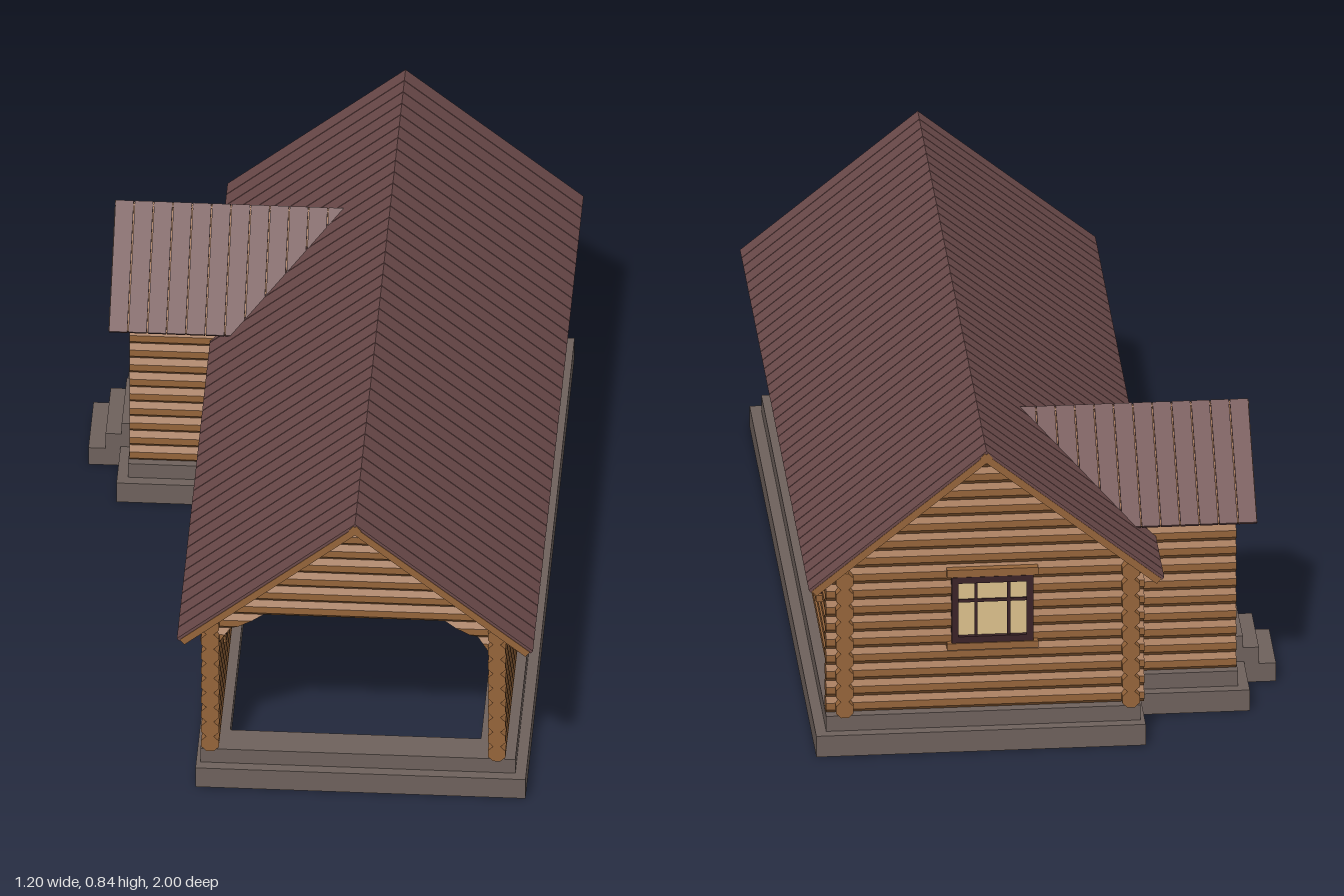
import * as THREE from 'three';

const mat = (color) => new THREE.MeshStandardMaterial({ color, flatShading: true });
const WOOD = mat(0x95643a), STONE = mat(0x6e615c), ROOF = mat(0x6b4a4a);
const FRAME = mat(0x3a2327), GLASS = mat(0xdcc08c), DOOR = mat(0x5a302c);
const PITCH = 0.044, BASE = 0.095, ROWS = 9, WALL_TOP = BASE + PITCH * ROWS;

function add(parent, name, geo, material, x = 0, y = 0, z = 0) {
  const m = new THREE.Mesh(geo, material);
  m.name = name;
  m.position.set(x, y, z);
  parent.add(m);
  return m;
}

function box(parent, name, material, x0, x1, y0, y1, z0, z1) {
  return add(parent, name, new THREE.BoxGeometry(x1 - x0, y1 - y0, z1 - z0), material,
    (x0 + x1) / 2, (y0 + y1) / 2, (z0 + z1) / 2);
}

function group(parent, name, x = 0, y = 0, z = 0, turn = 0) {
  const g = new THREE.Group();
  g.name = name;
  g.position.set(x, y, z);
  g.rotation.y = turn;
  parent.add(g);
  return g;
}

// Octagonal log lying along x, flat sides facing out
function logGeometry(length) {
  const r = PITCH / 2 / Math.cos(Math.PI / 8);
  return new THREE.CylinderGeometry(r, r, length, 8, 1, false, Math.PI / 8).rotateZ(Math.PI / 2);
}

// Log whose ends are cut by a rule: cut(sign of end, height) gives x
function cutLog(y, cut) {
  const geo = logGeometry(2), p = geo.attributes.position;
  for (let i = 0; i < p.count; i++) p.setX(i, cut(Math.sign(p.getX(i)), y + p.getY(i)));
  geo.computeVertexNormals();
  return geo;
}

// Stack of logs from a0 to a1, along x or along z
function logWall(parent, name, axis, a0, a1, at, rows = ROWS) {
  const mid = (a0 + a1) / 2;
  const wall = axis === 'x' ? group(parent, name, mid, 0, at) : group(parent, name, at, 0, mid, Math.PI / 2);
  const geo = logGeometry(a1 - a0);
  for (let i = 0; i < rows; i++) add(wall, 'log', geo, WOOD, 0, BASE + (i + 0.5) * PITCH, 0);
}

// Gable of logs cut to follow the roof slope
function gable(parent, name, x, z, turn, bottom, peak, slope) {
  const g = group(parent, name, x, 0, z, turn);
  for (let y = bottom + PITCH / 2; y < peak; y += PITCH)
    add(g, 'gableLog', cutLog(y, (s, h) => s * Math.max(0, peak - h) / slope), WOOD, 0, y, 0);
}

// Two slopes of boards with metal strips; the ridge runs along local z.
// Over the last part, hip, the slopes shorten towards the ridge.
function gableRoof(parent, name, x, y, z, turn, length, half, slope, thick, hip = 0) {
  const roof = group(parent, name, x, y, z, turn);
  const run = half * Math.hypot(1, slope), n = Math.round(length / 0.05), step = length / n;
  for (const s of [-1, 1]) {
    const side = group(roof, 'roofSide');
    side.rotation.z = -s * Math.atan(slope);
    for (let i = 0; i < n; i++) {
      const z0 = -length / 2 + i * step, left = length / 2 - z0;
      const r = left < hip ? run * left / hip : run;
      const inner = Math.min(0, s * r), outer = Math.max(0, s * r);
      box(side, 'roofBoard', WOOD, inner + (s < 0 ? 0.004 : 0), outer - (s > 0 ? 0.004 : 0), -thick, -0.007, z0, z0 + step);
      box(side, 'roofStrip', ROOF, inner, outer, -0.009, 0, z0 + 0.0015, z0 + step - 0.0015);
    }
  }
}

// Window through the wall, flush inside and proud outside (local +z)
function makeWindow(parent, x, y, z, turn, w = 0.19, h = 0.18) {
  const g = group(parent, 'window', x, y, z, turn);
  const a = w / 2, b = h / 2, t = 0.017, back = -0.025, front = 0.035;
  box(g, 'glass', GLASS, -a + t, a - t, -b + t, b - t, -0.0225, 0.024);
  for (const s of [-1, 1]) {
    const c = s * (a - t / 2), e = s * (b - t / 2), m = s * w * 0.2;
    box(g, 'frameSide', FRAME, c - t / 2, c + t / 2, -b, b, back, front);
    box(g, 'frameRail', FRAME, -a, a, e - t / 2, e + t / 2, back, front);
    box(g, 'mullion', FRAME, m - 0.004, m + 0.004, -b + t, b - t, -0.024, 0.028);
  }
  box(g, 'crossBar', FRAME, -a + t, a - t, h * 0.1, h * 0.1 + 0.008, -0.024, 0.028);
  box(g, 'header', WOOD, -a - 0.012, a + 0.012, b, b + 0.02, -0.025, 0.034);
  box(g, 'sill', WOOD, -a - 0.012, a + 0.012, -b - 0.018, -b, -0.025, 0.038);
}

// Foundation course: a ring that follows house and porch, inset by d, inner edge at rim
function foundation(parent, name, d, y0, y1, rim) {
  const L = -0.245 + d * 0.4, R = 0.578 - d, B = -0.975 + d, F = 0.963 - d;
  const pL = -0.52 + d, pB = -0.797 + d, pF = -0.27 - d;
  const l = -0.21 + rim, r = 0.505 - rim, b = -0.905 + rim, f = 0.895 - rim;
  const ql = -0.447 + rim, qb = -0.735 + rim, qf = -0.33 - rim;
  const pts = (list) => list.map(([x, z]) => new THREE.Vector2(x, z));
  const shape = new THREE.Shape(pts([[L, B], [R, B], [R, F], [L, F], [L, pF], [pL, pF], [pL, pB], [L, pB]]));
  shape.holes.push(new THREE.Path(pts([[l, b], [l, qb], [ql, qb], [ql, qf], [l, qf], [l, f], [r, f], [r, b]])));
  const geo = new THREE.ExtrudeGeometry(shape, { depth: y1 - y0, bevelEnabled: false });
  add(parent, name, geo.rotateX(Math.PI / 2), STONE, 0, y1, 0);
}

export function createModel() {
  const house = new THREE.Group();
  house.name = 'logHouse';

  // Stone base and steps
  foundation(house, 'lowerFoundation', 0, 0, 0.057, 0.015);
  foundation(house, 'upperFoundation', 0.027, 0.057, 0.098, 0.045);
  [[-0.6, 0, 0.05], [-0.557, 0.05, 0.095], [-0.517, 0.095, 0.127]].forEach(([x, y0, y1]) =>
    box(house, 'step', STONE, x, -0.465, y0, y1, -0.63, -0.43));

  // Main log walls; the front stays open and the right wall opens into the porch
  logWall(house, 'leftWall', 'z', -0.955, 0.942, 0.505);
  logWall(house, 'rightWallBack', 'z', -0.955, -0.7, -0.21);
  logWall(house, 'rightWallFront', 'z', -0.365, 0.942, -0.21);
  logWall(house, 'backWall', 'x', -0.245, 0.55, -0.91);
  gable(house, 'backGable', 0.155, -0.91, 0, WALL_TOP, 0.803, 0.82);
  gable(house, 'frontGable', 0.155, 0.9, 0, WALL_TOP, 0.803, 0.82);
  box(house, 'ridgeBeam', WOOD, 0.143, 0.167, 0.785, 0.812, -0.925, 0.915);

  // Corbel logs cut to a curve in the upper corners of the front opening
  for (const s of [-1, 1]) {
    const corbel = group(house, 'corbel', 0.1475 + s * 0.3575, 0, 0.9, s > 0 ? Math.PI : 0);
    for (const row of [1.5, 0.5]) {
      const y = WALL_TOP - row * PITCH;
      const reach = (h) => 0.022 + 0.11 * ((h - WALL_TOP + 2 * PITCH) / (2 * PITCH)) ** 2;
      add(corbel, 'corbelLog', cutLog(y, (end, h) => (end > 0 ? reach(h) : 0)), WOOD, 0, y, 0);
    }
  }

  // Entrance porch, one log higher than the main walls
  logWall(house, 'porchFrontWall', 'z', -0.735, -0.33, -0.447, ROWS + 1);
  for (const z of [-0.735, -0.33]) logWall(house, 'porchSideWall', 'x', -0.49, -0.11, z, ROWS + 1);
  gable(house, 'porchGable', -0.447, -0.53, Math.PI / 2, WALL_TOP + PITCH, 0.713, 0.85);

  // Door with frame and battens
  const door = group(house, 'door', -0.447, 0, -0.53);
  box(door, 'doorLeaf', DOOR, -0.026, 0.026, 0.11, 0.43, -0.075, 0.075);
  for (const s of [-1, 1]) box(door, 'doorPost', FRAME, -0.035, 0.03, 0.105, 0.445, s * 0.083 - 0.009, s * 0.083 + 0.009);
  box(door, 'doorLintel', FRAME, -0.035, 0.03, 0.428, 0.446, -0.092, 0.092);
  for (let i = -1; i <= 1; i++) box(door, 'doorBatten', FRAME, -0.029, 0.028, 0.12, 0.43, i * 0.038 - 0.003, i * 0.038 + 0.003);

  // Windows
  for (const z of [0.515, 0.045, -0.45]) makeWindow(house, 0.505, 0.337, z, Math.PI / 2);
  for (const z of [0.6, 0.02]) makeWindow(house, -0.21, 0.37, z, -Math.PI / 2);
  makeWindow(house, 0.135, 0.375, -0.91, Math.PI, 0.204);

  // Roofs; the porch roof tapers into the valleys of the main slope
  gableRoof(house, 'mainRoof', 0.155, 0.835, 0, 0, 2, 0.444, 0.82, 0.025);
  gableRoof(house, 'porchRoof', -0.25, 0.733, -0.53, Math.PI / 2, 0.58, 0.26, 0.84, 0.013, 0.27);
  return house;
}
